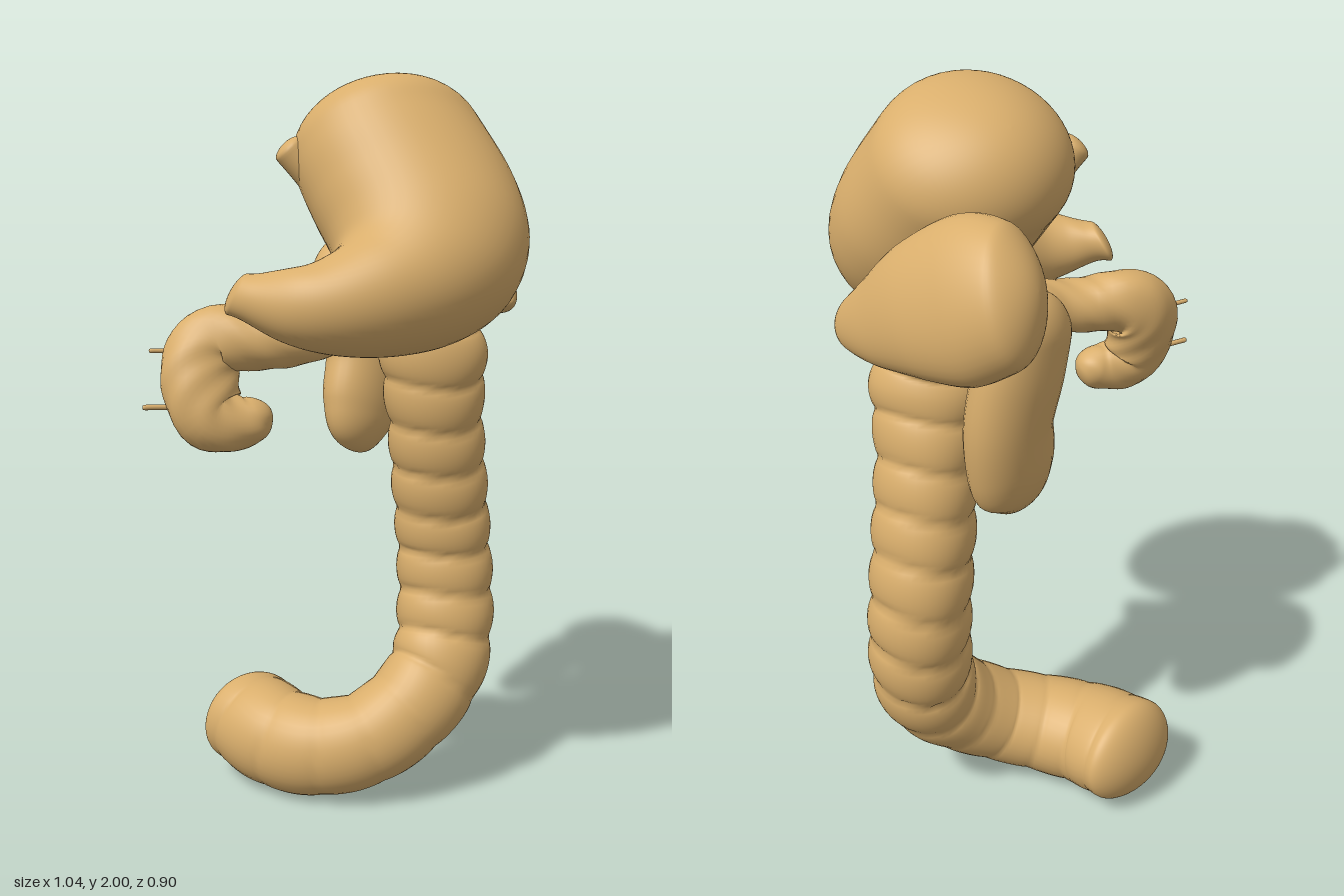
import * as THREE from 'three';

const tissue = new THREE.MeshStandardMaterial({ color: 0xd9ae6c });
tissue.name = 'tan tissue';

const curve = (points) => new THREE.CatmullRomCurve3(
  points.map((p) => new THREE.Vector3(...p)), false, 'catmullrom', 0.5);

// Sweeps an oval section along stations [x, y, z, halfWidth, halfDepth].
// "ref" is the depth direction; "caps" are the lengths of the rounded ends;
// "bump(s, angle)" scales the radius at distance s along the path;
// "edge" optionally gives the point on the width edge of each section,
// which fans the sections out around a tight bend.
function organ(name, stations, { ref, caps, edge, rings = 60, sides = 32, bump = () => 1 }) {
  const path = curve(stations.map(([x, y, z]) => [x, y, z]));
  const radii = curve(stations.map(([, , , a, b]) => [a, b, 0]));
  const edgePath = edge && curve(edge);
  const depth = new THREE.Vector3(...ref).normalize();

  // Rings gather towards the ends so the caps stay round
  const ts = Array.from({ length: rings + 1 }, (_, i) => (1 - Math.cos(Math.PI * i / rings)) / 2);
  const centres = ts.map((t) => path.getPoint(t));
  const dist = [0];
  for (let i = 1; i <= rings; i++) dist.push(dist[i - 1] + centres[i].distanceTo(centres[i - 1]));
  const total = dist[rings];
  const round = (d, len) => (d >= len ? 1 : Math.sqrt(Math.max(0, 1 - (1 - d / len) ** 2)));

  const pos = [], index = [];
  ts.forEach((t, i) => {
    const tangent = path.getTangent(t);
    const u = edgePath
      ? edgePath.getPoint(t).sub(centres[i]).normalize()
      : new THREE.Vector3().crossVectors(tangent, depth).normalize();
    const v = edgePath ? depth : new THREE.Vector3().crossVectors(u, tangent);
    const r = radii.getPoint(t);
    const cap = round(dist[i], caps[0]) * round(total - dist[i], caps[1]);
    for (let j = 0; j < sides; j++) {
      const angle = 2 * Math.PI * j / sides;
      const k = cap * bump(dist[i], angle);
      const p = centres[i].clone()
        .addScaledVector(u, r.x * k * Math.cos(angle))
        .addScaledVector(v, r.y * k * Math.sin(angle));
      pos.push(p.x, p.y, p.z);
      if (i < rings) {
        const a = i * sides + j, b = i * sides + (j + 1) % sides;
        index.push(a, a + sides, b, b, a + sides, b + sides);
      }
    }
  });
  const geo = new THREE.BufferGeometry();
  geo.setAttribute('position', new THREE.Float32BufferAttribute(pos, 3));
  geo.setIndex(index);
  geo.computeVertexNormals();
  const mesh = new THREE.Mesh(geo, tissue);
  mesh.name = name;
  return mesh;
}

// Stomach, laid out in its own tilted plane (x across, s down and forward, k out of plane).
// Each row: inner curve x, s; outer curve x, s; k of the centre; half depth.
function stomach() {
  const place = (x, s, k) => [x, 1.66 - 0.74 * s + 0.67 * k, 0.09 + 0.67 * s + 0.74 * k];
  const rows = [
    [-0.07, -0.355, 0.34, -0.355, 0.00, 0.20],
    [-0.09, -0.25, 0.385, -0.25, 0.03, 0.225],
    [-0.095, -0.14, 0.42, -0.13, 0.035, 0.225],
    [-0.08, -0.03, 0.45, 0.03, 0.03, 0.225],
    [-0.065, 0.06, 0.43, 0.18, 0.03, 0.215],
    [-0.065, 0.11, 0.34, 0.31, 0.03, 0.195],
    [-0.08, 0.14, 0.20, 0.385, 0.03, 0.17],
    [-0.11, 0.16, 0.03, 0.41, 0.025, 0.145],
    [-0.16, 0.175, -0.13, 0.39, 0.01, 0.115],
    [-0.215, 0.17, -0.235, 0.34, -0.01, 0.09],
    [-0.26, 0.15, -0.32, 0.25, -0.045, 0.062],
    [-0.295, 0.125, -0.355, 0.20, -0.08, 0.06],
  ];
  const stations = rows.map(([ix, is, ox, os, k, b]) =>
    [...place((ix + ox) / 2, (is + os) / 2, k), Math.hypot(ox - ix, os - is) / 2, b]);
  const edge = rows.map(([ix, is, , , k]) => place(ix, is, k));
  return organ('stomach', stations,
    { ref: [0, 0.67, 0.74], edge, caps: [0.18, 0.025], rings: 100, sides: 48 });
}

export function createModel() {
  const group = new THREE.Group();
  group.name = 'abdominalOrgans';

  group.add(stomach());

  // Short stub of the gullet
  group.add(organ('gulletStub', [
    [0.02, 1.71, -0.01, 0.07, 0.07],
    [-0.065, 1.78, -0.025, 0.045, 0.045],
    [-0.115, 1.835, -0.04, 0.042, 0.042],
  ], { ref: [0, 0, 1], caps: [0.01, 0.02], rings: 24, sides: 24 }));

  // Spleen: thick at the back, tapering to a tip beside the stomach
  group.add(organ('spleen', [
    [0.225, 1.64, -0.425, 0.12, 0.09],
    [0.265, 1.615, -0.36, 0.17, 0.115],
    [0.32, 1.585, -0.27, 0.195, 0.115],
    [0.39, 1.545, -0.17, 0.165, 0.09],
    [0.44, 1.49, -0.06, 0.115, 0.065],
    [0.465, 1.45, 0.04, 0.07, 0.045],
    [0.465, 1.425, 0.12, 0.04, 0.03],
  ], { ref: [0.85, 0.35, -0.4], caps: [0.07, 0.08], sides: 40 }));

  // Kidney: bean curving around its hollow on the inner side
  group.add(organ('kidney', [
    [0.14, 1.58, -0.29, 0.11, 0.075],
    [0.165, 1.49, -0.285, 0.13, 0.085],
    [0.19, 1.38, -0.275, 0.14, 0.095],
    [0.21, 1.25, -0.26, 0.135, 0.095],
    [0.19, 1.13, -0.235, 0.14, 0.09],
    [0.175, 1.05, -0.215, 0.12, 0.075],
    [0.175, 0.975, -0.20, 0.09, 0.06],
  ], { ref: [0.45, 0, 0.9], caps: [0.1, 0.1] }));

  // Pancreas: hooked lumpy head, with a tail running back to the spleen
  group.add(organ('pancreas', [
    [-0.20, 1.175, 0.085, 0.045, 0.05],
    [-0.28, 1.155, 0.08, 0.068, 0.06],
    [-0.36, 1.18, 0.06, 0.092, 0.072],
    [-0.365, 1.29, 0.025, 0.10, 0.075],
    [-0.32, 1.355, 0.02, 0.092, 0.075],
    [-0.22, 1.355, 0.065, 0.075, 0.075],
    [-0.10, 1.365, 0.085, 0.07, 0.07],
    [0.04, 1.40, 0.06, 0.068, 0.065],
    [0.18, 1.44, -0.04, 0.065, 0.06],
    [0.29, 1.45, -0.16, 0.055, 0.05],
  ], {
    ref: [0, 0.25, 1], caps: [0.05, 0.06], rings: 100,
    bump: (s, a) => 1 + 0.04 * Math.sin(s * 55 + 2 * a) * Math.sin(3 * a + s * 20),
  }));

  // Two thin ducts leaving the pancreas head
  [[-0.49, 1.335, -0.005, 0.006], [-0.52, 1.20, 0.03, 0.007]].forEach(([x, y, z, r], i) => {
    group.add(organ('duct' + (i + 1), [
      [x, y, z, r, r], [(x - 0.40) / 2, y - 0.003, z + 0.003, r, r], [-0.40, y - 0.01, z + 0.01, r, r],
    ], { ref: [0, 0, 1], caps: [0.005, 0.005], rings: 12, sides: 10 }));
  });

  // Descending colon: pouched all the way, calmer in the lower bend
  group.add(organ('colon', [
    [0.305, 1.43, -0.04, 0.11, 0.11],
    [0.305, 1.29, -0.03, 0.148, 0.125],
    [0.325, 1.11, -0.05, 0.136, 0.132],
    [0.355, 0.91, -0.075, 0.136, 0.136],
    [0.38, 0.72, -0.09, 0.137, 0.137],
    [0.38, 0.53, -0.07, 0.14, 0.138],
    [0.345, 0.38, -0.035, 0.14, 0.138],
    [0.25, 0.27, -0.015, 0.135, 0.135],
    [0.12, 0.185, -0.03, 0.134, 0.134],
    [0.00, 0.15, -0.10, 0.14, 0.14],
    [-0.08, 0.15, -0.20, 0.145, 0.148],
    [-0.115, 0.165, -0.30, 0.142, 0.158],
    [-0.14, 0.175, -0.395, 0.132, 0.16],
  ], {
    ref: [0.5, 0, -0.85], caps: [0.06, 0.07], rings: 220, sides: 40,
    bump: (s, a) => {
      const strength = s < 1.0 ? 0.13 : Math.max(0.04, 0.13 - (s - 1.0) * 0.4);
      const pouch = Math.sqrt(Math.abs(Math.sin(Math.PI * (s + 0.04 + 0.012 * Math.sin(2 * a)) / 0.128)));
      return 1 - strength * (1 - pouch) + 0.02 * Math.cos(3 * a + s);
    },
  }));

  return group;
}
